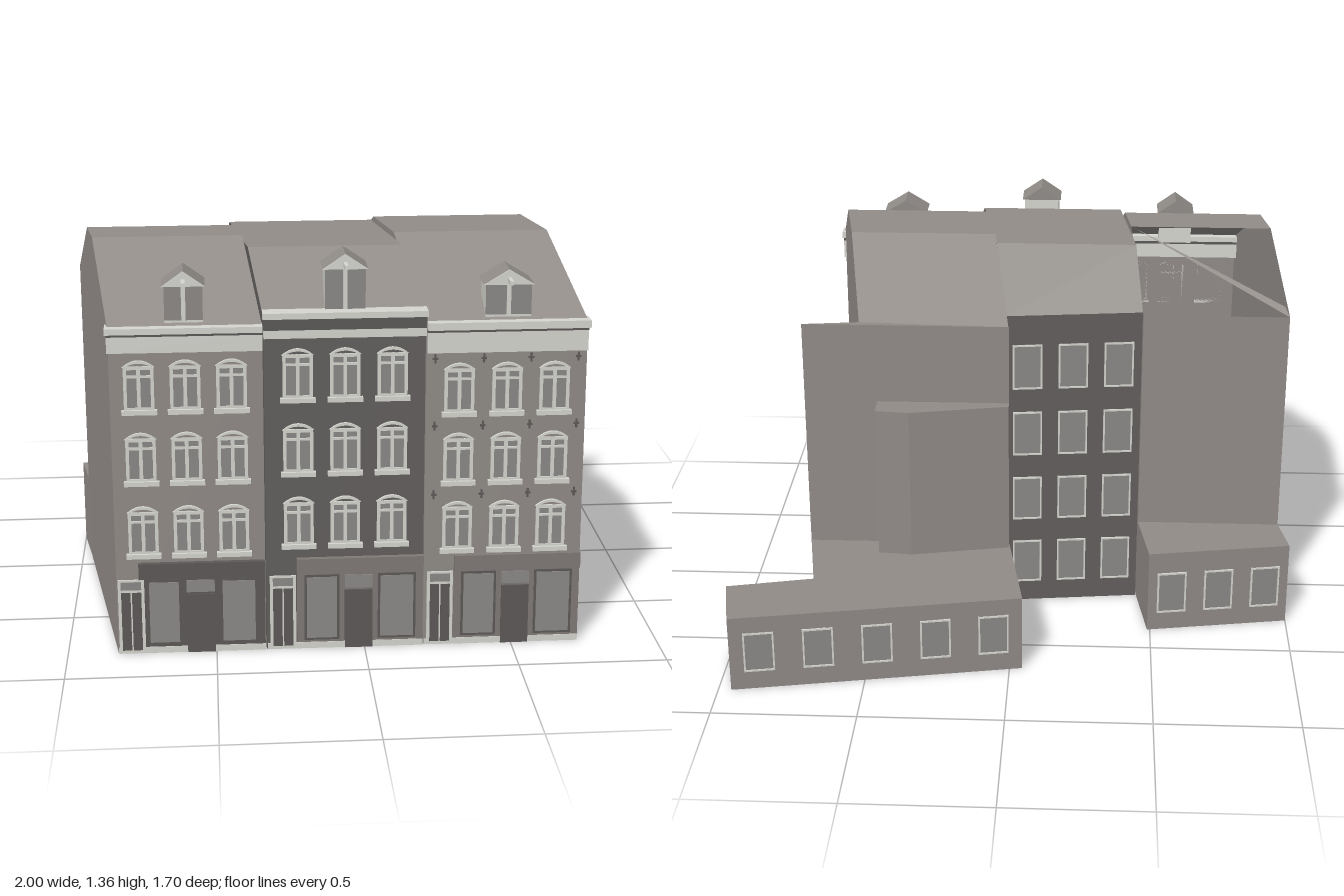
import * as THREE from 'three';

const mat = (name, color, side = THREE.FrontSide) => {
  const m = new THREE.MeshStandardMaterial({ color, side });
  m.name = name;
  return m;
};

export function createModel() {
  const root = new THREE.Group();
  root.name = 'terraceOfHouses';
  const wall = mat('warm grey wall', 0x918b87, THREE.DoubleSide);
  const darkWall = mat('dark wall', 0x625f5e, THREE.DoubleSide);
  const roof = mat('roof', 0x918c88, THREE.DoubleSide);
  const trim = mat('pale trim', 0xd6d6d0);
  const glass = mat('glass', 0x8c8987);
  const shop = mat('shopfront', 0x807a76);
  const dark = mat('dark joinery', 0x5c5957);
  const FZ = 0.81; // street face

  const add = (parent, name, geo, m) => {
    const mesh = new THREE.Mesh(geo, m);
    mesh.name = name;
    parent.add(mesh);
    return mesh;
  };
  const group = (parent, name) => {
    const g = new THREE.Group();
    g.name = name;
    parent.add(g);
    return g;
  };
  // box given by its limits
  const box = (parent, name, m, x0, x1, y0, y1, z0, z1) => {
    const geo = new THREE.BoxGeometry(x1 - x0, y1 - y0, z1 - z0);
    geo.translate((x0 + x1) / 2, (y0 + y1) / 2, (z0 + z1) / 2);
    return add(parent, name, geo, m);
  };
  // flat plan outline [x, z] raised to a height
  const prism = (parent, name, m, pts, h) => {
    const shape = new THREE.Shape(pts.map(([x, z]) => new THREE.Vector2(x, -z)));
    const geo = new THREE.ExtrudeGeometry(shape, { depth: h, bevelEnabled: false });
    return add(parent, name, geo.rotateX(-Math.PI / 2), m);
  };
  const faces = (parent, name, m, polys) => {
    const v = [];
    for (const p of polys)
      for (let i = 1; i < p.length - 1; i++) v.push(...p[0], ...p[i], ...p[i + 1]);
    const geo = new THREE.BufferGeometry();
    geo.setAttribute('position', new THREE.Float32BufferAttribute(v, 3));
    geo.computeVertexNormals();
    return add(parent, name, geo, m);
  };

  // skewed house body: left and right profiles run front, eave, ridge, ridge, eave, back
  const houseBody = (name, m, L, R, openBack) => {
    const g = group(root, name);
    const strip = (i) => [L[i], R[i], R[(i + 1) % 6], L[(i + 1) % 6]];
    faces(g, 'walls', m, [strip(0), strip(4), strip(5), L, [...R].reverse()]);
    faces(g, 'roof', roof, (openBack ? [1, 2] : [1, 2, 3]).map(strip));
    return g;
  };
  // ys: eave, ridge, back eave; zs: front ridge, back ridge, back; line gives x for z
  const profile = (line, [ye, yr, yb], [z1, z2, z3]) =>
    [[0, FZ], [ye, FZ], [yr, z1], [yr, z2], [yb, z3], [0, z3]].map(([y, z]) => [line(z), y, z]);
  const party = (xf, k) => (z) => xf - (FZ - z) * k;

  const y1 = [1.13, 1.345, 1.13], z1 = [0.41, 0.24, -0.11];
  const left = houseBody('leftHouse', wall, profile(party(-0.83, 0.152), y1, z1),
    profile(party(-0.333, 0.13), y1, z1), true);
  faces(left, 'roofSliver', roof, [[[-0.97, 1.13, -0.11], [-0.41, 1.345, 0.24], [-0.955, 1.155, -0.07]]]);
  const y2 = [1.16, 1.325, 1.14];
  const mid = houseBody('middleHouse', darkWall, profile(party(-0.33, 0.13), y2, [0.51, 0.09, -0.11]),
    profile(party(0.198, 0.163), y2, [0.51, 0.09, -0.17]));
  const y3 = [1.13, 1.345, 1.13];
  const right = houseBody('rightHouse', wall, profile(party(0.2, 0.168), y3, [0.4, 0.13, -0.25]),
    profile(party(0.73, 0.174), y3, [0.4, 0.13, -0.225]));

  // rear additions
  prism(root, 'rearWingWall', wall, [[0.02, -0.25], [0.75, -0.252], [0.55, -0.225]], 1.13);
  prism(root, 'rearStairBlock', wall, [[0.02, -0.25], [0.49, -0.25], [0.49, -0.34], [0.37, -0.352], [0.02, -0.28]], 0.84);
  prism(root, 'rightExtension', wall,
    [[-0.045, -0.66], [0.955, -0.85], [1, -0.62], [0.7, -0.55], [0.75, -0.25], [0.02, -0.25]], 0.28);
  prism(root, 'leftExtension', wall, [[-1, -0.28], [-0.49, -0.37], [-0.452, -0.111], [-0.97, -0.111]], 0.31);

  // rectangular frame with a pane, lower edge at y = 0
  const pane = (parent, name, w, h, t = 0.008) => {
    const g = group(parent, name);
    box(g, 'glass', glass, -w / 2, w / 2, 0, h, 0, 0.003);
    for (const s of [-1, 1]) box(g, 'jamb', trim, s * (w / 2) - t / 2, s * (w / 2) + t / 2, 0, h, 0, 0.007);
    box(g, 'head', trim, -w / 2, w / 2, h - t, h, 0, 0.007);
    box(g, 'sill', trim, -w / 2, w / 2, 0, t, 0, 0.007);
    return g;
  };
  // rear windows spread along a wall, p to q left to right from outside
  const rearRow = (p, q, n, y, w, h) => {
    for (let i = 0; i < n; i++) {
      const t = (i + 0.5) / n;
      const g = pane(root, 'rearWindow', w, h, 0.006);
      g.position.set(p[0] + (q[0] - p[0]) * t, y, p[1] + (q[1] - p[1]) * t);
      g.rotation.y = Math.atan2(p[1] - q[1], q[0] - p[0]);
    }
  };
  for (let r = 0; r < 4; r++) rearRow([0.04, -0.17], [-0.45, -0.11], 3, 0.08 + r * 0.26, 0.1, 0.17);
  rearRow([0.955, -0.85], [-0.045, -0.66], 5, 0.07, 0.1, 0.15);
  rearRow([-0.49, -0.37], [-1, -0.28], 3, 0.07, 0.1, 0.16);

  // street window with arched head, mullion, transom and sill
  const arch = (w, y, rise) => new THREE.Shape()
    .moveTo(-w, y).quadraticCurveTo(0, y + rise * 2, w, y);
  const archedWindow = (parent, x, y) => {
    const g = pane(parent, 'streetWindow', 0.088, 0.15, 0.011);
    g.position.set(x, y, FZ);
    box(g, 'mullion', trim, -0.006, 0.006, 0, 0.15, 0, 0.008);
    box(g, 'transom', trim, -0.044, 0.044, 0.112, 0.12, 0, 0.008);
    box(g, 'ledge', trim, -0.058, 0.058, -0.012, 0.004, 0, 0.016);
    const hood = arch(0.052, 0.148, 0.022);
    hood.holes.push(new THREE.Path(arch(0.04, 0.151, 0.01).getPoints(8)));
    add(g, 'archedHood', new THREE.ExtrudeGeometry(hood, { depth: 0.01, bevelEnabled: false, curveSegments: 8 }), trim);
  };

  // house door with a pale frame, two leaves and a fanlight
  const houseDoor = (parent, x) => {
    const g = group(parent, 'houseDoor');
    g.position.set(x, 0, FZ);
    box(g, 'frame', trim, -0.044, 0.044, 0, 0.265, 0, 0.005);
    for (const s of [-1, 1]) box(g, 'leaf', dark, s * 0.018 - 0.0155, s * 0.018 + 0.0155, 0.012, 0.22, 0, 0.008);
    box(g, 'fanlight', glass, -0.034, 0.034, 0.23, 0.258, 0, 0.008);
  };

  // shopfront: surround, fascia, two display windows and a recessed-looking door
  const shopfront = (parent, x0, x1, m, top) => {
    const g = group(parent, 'shopfront');
    const c = (x0 + x1) / 2 - 0.005;
    box(g, 'surround', m, x0, x1, 0, top - 0.06, FZ - 0.01, FZ + 0.004);
    box(g, 'fascia', m, x0, x1, top - 0.055, top, FZ, FZ + 0.018);
    box(g, 'plinth', trim, x0, x1, 0, 0.022, FZ, FZ + 0.006);
    for (const [a, b] of [[x0 + 0.025, c - 0.065], [c + 0.065, x1 - 0.025]]) {
      box(g, 'displayFrame', dark, a, b, 0.03, top - 0.062, FZ, FZ + 0.006);
      box(g, 'displayGlass', glass, a + 0.008, b - 0.008, 0.038, top - 0.07, FZ, FZ + 0.008);
    }
    box(g, 'shopDoor', dark, c - 0.047, c + 0.047, 0, 0.21, FZ, FZ + 0.009);
    box(g, 'doorTransom', glass, c - 0.047, c + 0.047, 0.217, top - 0.065, FZ, FZ + 0.007);
  };

  // gabled roof dormer with hoist beam
  const dormer = (parent, x, peak, w) => {
    const g = group(parent, 'dormer');
    g.position.set(x, 0, 0);
    const eave = peak - 0.05;
    box(g, 'cheeks', trim, -w + 0.008, w - 0.008, 1.14, eave, 0.68, 0.788);
    box(g, 'hatch', glass, -w + 0.008, w - 0.008, 1.15, eave, 0.788, 0.791);
    box(g, 'hatchPost', trim, -0.007, 0.007, 1.15, eave, 0.79, 0.795);
    const tri = new THREE.Shape([new THREE.Vector2(-w, eave), new THREE.Vector2(w, eave), new THREE.Vector2(0, peak)]);
    const wedge = (depth, z) => new THREE.ExtrudeGeometry(tri, { depth, bevelEnabled: false }).translate(0, 0, z);
    add(g, 'dormerRoof', wedge(0.122, 0.67), roof);
    add(g, 'gableBoard', wedge(0.005, 0.792), trim);
    box(g, 'hoistBeam', trim, -0.006, 0.006, peak - 0.04, peak - 0.026, 0.79, 0.85);
  };

  // street fronts
  const fronts = [
    { g: left, x0: -0.83, x1: -0.333, cols: [-0.735, -0.585, -0.435], rows: [0.355, 0.61, 0.855], door: -0.782, shop: [-0.755, -0.335], m: dark, top: 0.325, peak: 1.312, dx: -0.585, dw: 0.07 },
    { g: mid, x0: -0.328, x1: 0.198, cols: [-0.22, -0.065, 0.09], rows: [0.375, 0.63, 0.885], door: -0.275, shop: [-0.228, 0.198], m: shop, top: 0.328, peak: 1.36, dx: -0.063, dw: 0.074 },
    { g: right, x0: 0.202, x1: 0.73, cols: [0.31, 0.468, 0.625], rows: [0.345, 0.585, 0.825], door: 0.255, shop: [0.302, 0.73], m: shop, top: 0.325, peak: 1.3, dx: 0.47, dw: 0.083 },
  ];
  for (const f of fronts) {
    for (const y of f.rows) for (const x of f.cols) archedWindow(f.g, x, y);
    houseDoor(f.g, f.door);
    shopfront(f.g, ...f.shop, f.m, f.top);
    dormer(f.g, f.dx, f.peak, f.dw);
    box(f.g, 'plinth', trim, f.x0, f.x1, 0, 0.02, FZ, FZ + 0.003);
  }
  // cornices
  const cornice = (g, m, x0, x1, y0, y1, d) => box(g, 'cornice', m, x0, x1, y0, y1, FZ - 0.04, FZ + d);
  cornice(left, trim, -0.835, -0.333, 1.05, 1.105, 0.008);
  cornice(left, dark, -0.835, -0.333, 1.105, 1.115, 0.012);
  cornice(left, trim, -0.84, -0.333, 1.115, 1.135, 0.024);
  cornice(mid, trim, -0.33, 0.2, 1.09, 1.118, 0.012);
  cornice(mid, dark, -0.33, 0.2, 1.118, 1.158, 0.014);
  cornice(mid, trim, -0.333, 0.203, 1.158, 1.178, 0.028);
  cornice(right, trim, 0.203, 0.732, 1.03, 1.1, 0.008);
  cornice(right, dark, 0.203, 0.732, 1.1, 1.11, 0.012);
  cornice(right, trim, 0.203, 0.737, 1.11, 1.135, 0.024);

  // iron wall anchors
  for (const y of [0.54, 0.78, 1.01])
    for (const x of [0.23, 0.39, 0.546, 0.702]) {
      const g = group(right, 'wallAnchor');
      box(g, 'bar', dark, x - 0.003, x + 0.003, y - 0.015, y + 0.015, FZ, FZ + 0.006);
      box(g, 'crossbar', dark, x - 0.009, x + 0.009, y - 0.003, y + 0.003, FZ, FZ + 0.007);
    }
  return root;
}
